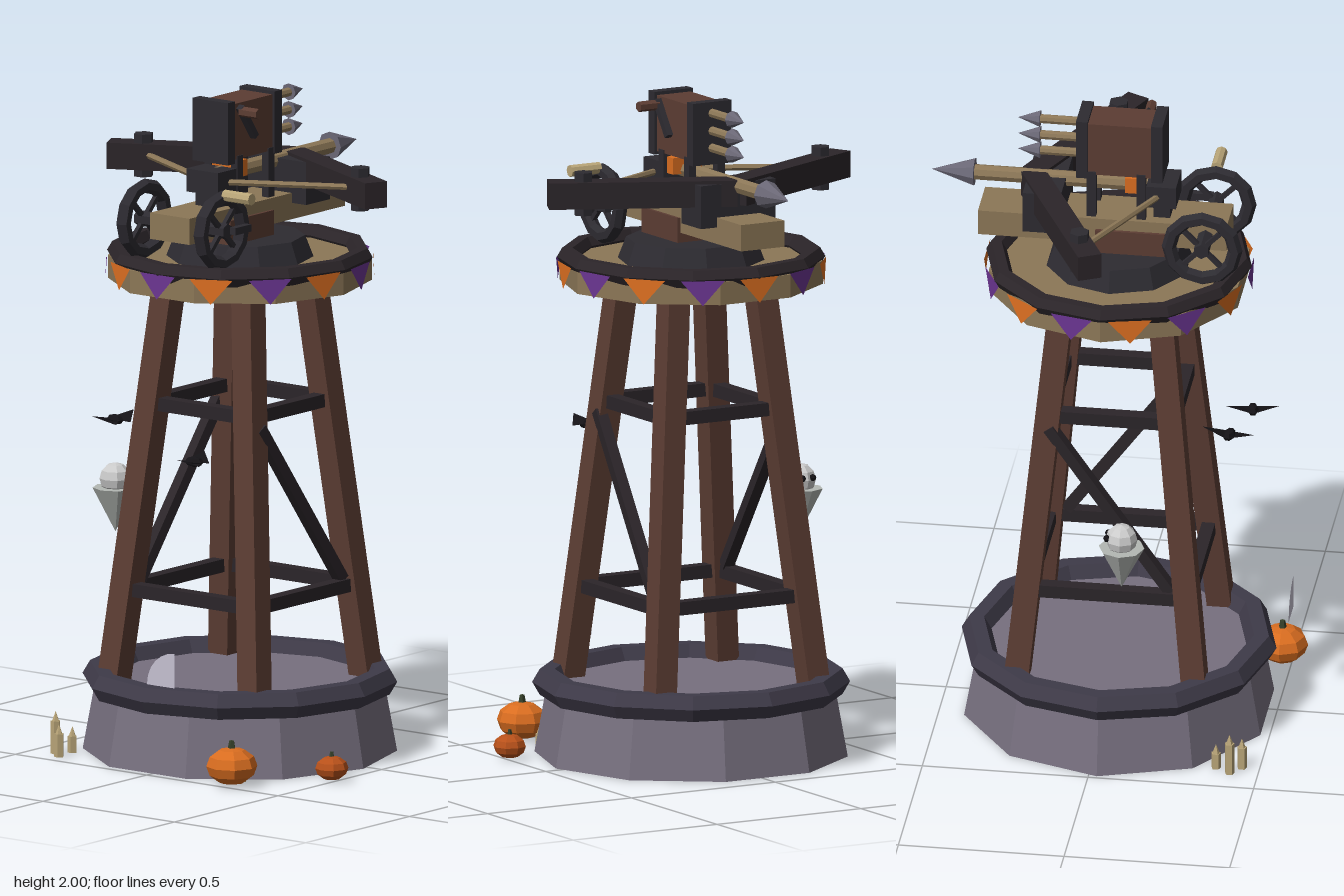
import * as THREE from 'three';

const C = {
  stone: 0x77707f, stoneRim: 0x3e3a48, wood: 0x5c3d33, dark: 0x2b2529, iron: 0x2d2b31,
  tan: 0x8c7757, steel: 0x6a6775, orange: 0xd96d20, orangeDeep: 0xb8511a, purple: 0x69348f,
  white: 0xe4e6e4, cloth: 0xb4b8b4, wax: 0xb9a578, stem: 0x35402a, black: 0x151317, web: 0xc4c0d0,
};
const V = (x, y, z) => new THREE.Vector3(x, y, z);
const mats = {};
function mat(color, side = THREE.FrontSide) {
  const key = color + '_' + side;
  return (mats[key] ??= new THREE.MeshStandardMaterial({ color, flatShading: true, side }));
}

function add(parent, name, geo, color, x = 0, y = 0, z = 0, side) {
  const m = new THREE.Mesh(geo, mat(color, side));
  m.name = name;
  m.position.set(x, y, z);
  parent.add(m);
  return m;
}
const box = (p, name, color, w, h, d, x, y, z) => add(p, name, new THREE.BoxGeometry(w, h, d), color, x, y, z);
const cyl = (p, name, color, rt, rb, h, n, x, y, z) =>
  add(p, name, new THREE.CylinderGeometry(rt, rb, h, n), color, x, y, z);

// Square beam between two points
function beam(p, name, color, a, b, w, h = w) {
  const d = b.clone().sub(a), len = d.length(), upright = Math.abs(d.y) > len * 0.5;
  const geo = upright ? new THREE.BoxGeometry(w, len, h) : new THREE.BoxGeometry(len, h, w);
  const m = add(p, name, geo, color);
  m.position.copy(a).lerp(b, 0.5);
  m.quaternion.setFromUnitVectors(upright ? V(0, 1, 0) : V(1, 0, 0), d.normalize());
  return m;
}
// Round rod between two points, optionally tapered to a point
function rod(p, name, color, a, b, r, n = 8, rEnd = r) {
  const d = b.clone().sub(a);
  const m = add(p, name, new THREE.CylinderGeometry(rEnd, r, d.length(), n), color);
  m.position.copy(a).lerp(b, 0.5);
  m.quaternion.setFromUnitVectors(V(0, 1, 0), d.normalize());
  return m;
}
function ring(p, name, color, R, r, y) {
  add(p, name, new THREE.TorusGeometry(R, r, 6, 12), color, 0, y, 0).rotation.x = Math.PI / 2;
}
function flat(points) {
  const g = new THREE.BufferGeometry();
  g.setAttribute('position', new THREE.Float32BufferAttribute(points, 3));
  g.computeVertexNormals();
  return g;
}

function buildTower() {
  const g = new THREE.Group();
  g.name = 'tower';
  g.position.set(-0.025, 0, -0.02);
  cyl(g, 'stoneBase', C.stone, 0.43, 0.47, 0.22, 10, 0, 0.11, 0);
  ring(g, 'baseRim', C.stoneRim, 0.43, 0.045, 0.22);

  // Splayed legs and bracing
  const s = (y) => 0.265 - 0.0975 * (y - 0.25);
  for (const sx of [-1, 1]) for (const sz of [-1, 1]) {
    beam(g, 'leg', C.wood, V(sx * s(0.18), 0.18, sz * s(0.18)), V(sx * s(1.46), 1.46, sz * s(1.46)), 0.073);
  }
  for (const y of [0.5, 1.065]) for (const k of [-1, 1]) {
    const r = s(y);
    box(g, 'crossBar', C.dark, 2 * r, 0.04, 0.04, 0, y, k * r);
    box(g, 'crossBar', C.dark, 0.04, 0.04, 2 * r, k * r, y, 0);
  }
  for (const k of [-1, 1]) {
    beam(g, 'diagonalBrace', C.dark, V(-k * 0.18, 1.035, k * 0.213), V(k * 0.19, 0.52, k * 0.235), 0.034);
  }

  // Platform with pennants
  cyl(g, 'platform', C.tan, 0.395, 0.395, 0.07, 10, 0, 1.47, 0);
  ring(g, 'platformRim', C.dark, 0.37, 0.031, 1.512);
  const pennant = flat([-0.066, 0, 0, 0, -0.075, 0.004, 0.066, 0, 0]);
  for (let i = 0; i < 14; i++) {
    const a = (i / 14) * Math.PI * 2;
    const m = add(g, 'pennant', pennant, i % 2 ? C.purple : C.orange,
      Math.cos(a) * 0.398, 1.51, Math.sin(a) * 0.398, THREE.DoubleSide);
    m.rotation.y = Math.PI / 2 - a;
  }
  cyl(g, 'turntable', C.iron, 0.195, 0.222, 0.07, 10, 0, 1.535, 0);
  return g;
}

// Bolt pointing along +x
function bolt(p, name, x0, x1, x2, y, r, headR) {
  rod(p, name + 'Shaft', C.tan, V(x0, y, 0), V(x1, y, 0), r, 8);
  rod(p, name + 'Head', C.steel, V(x1, y, 0), V(x2, y, 0), headR, 8, 0);
}

function buildCrossbow() {
  const g = new THREE.Group();
  g.name = 'crossbow';
  g.position.z = -0.022;
  box(g, 'stock', C.tan, 0.75, 0.08, 0.15, 0.015, 1.64, 0);
  box(g, 'pivotBlock', C.wood, 0.21, 0.08, 0.17, -0.07, 1.605, 0);
  box(g, 'limbBracket', C.iron, 0.115, 0.13, 0.26, 0.19, 1.715, 0);
  box(g, 'latch', C.iron, 0.09, 0.07, 0.12, -0.16, 1.757, 0);
  box(g, 'latchMount', C.iron, 0.05, 0.05, 0.08, -0.16, 1.70, 0);
  box(g, 'charm', C.orange, 0.06, 0.05, 0.1, -0.08, 1.785, 0);

  // Swept limbs, tip pegs and string
  for (const k of [-1, 1]) {
    beam(g, 'limb', C.dark, V(0.235, 1.75, 0), V(-0.01, 1.75, k * 0.508), 0.073, 0.08);
    cyl(g, 'limbPeg', C.iron, 0.03, 0.03, 0.13, 6, 0.035, 1.752, k * 0.412);
    rod(g, 'string', C.tan, V(0.035, 1.755, k * 0.41), V(-0.165, 1.755, k * 0.02), 0.01, 6);
  }
  bolt(g, 'mainBolt', -0.14, 0.41, 0.54, 1.77, 0.024, 0.043);

  // Magazine of small bolts
  box(g, 'magazine', C.wood, 0.21, 0.17, 0.117, -0.037, 1.905, 0);
  for (const x of [-0.148, 0.078]) box(g, 'magazinePlate', C.iron, 0.035, 0.19, 0.134, x, 1.905, 0);
  for (const x of [-0.1, 0.05]) for (const k of [-1, 1]) {
    box(g, 'magazinePost', C.iron, 0.028, 0.16, 0.025, x, 1.75, k * 0.05);
  }
  for (const y of [1.86, 1.912, 1.966]) bolt(g, 'smallBolt', 0.08, 0.212, 0.28, y, 0.014, 0.026);
  beam(g, 'leverArm', C.iron, V(-0.11, 1.98, 0.07), V(-0.04, 1.88, 0.07), 0.02);
  rod(g, 'leverGrip', C.wood, V(-0.105, 1.966, 0.07), V(-0.105, 1.966, 0.137), 0.016, 6);

  // Winding wheels on a shared axle
  const wx = -0.297, wy = 1.643;
  rod(g, 'axle', C.iron, V(wx, wy, -0.17), V(wx, wy, 0.17), 0.024, 6);
  for (const k of [-1, 1]) {
    const z = k * 0.147;
    add(g, 'wheelRim', new THREE.TorusGeometry(0.1, 0.022, 6, 12), C.iron, wx, wy, z);
    for (const a of [Math.PI / 4, -Math.PI / 4]) {
      box(g, 'wheelSpoke', C.iron, 0.19, 0.014, 0.014, wx, wy, z).rotation.z = a;
    }
  }
  box(g, 'crankArm', C.iron, 0.075, 0.022, 0.022, -0.247, wy, 0.18);
  rod(g, 'crankGrip', C.wax, V(wx, 1.752, 0.16), V(wx, 1.752, 0.262), 0.018, 8);
  return g;
}

function pumpkin(p, x, z, r, color) {
  const g = new THREE.Group();
  g.name = 'pumpkin';
  g.position.set(x, 0, z);
  add(g, 'pumpkinBody', new THREE.SphereGeometry(r, 8, 6), color, 0, r * 0.8, 0).scale.y = 0.74;
  cyl(g, 'pumpkinStem', C.stem, r * 0.1, r * 0.17, r * 0.36, 5, 0, r * 1.62, 0);
  p.add(g);
}

function bat(p, x, y, z, turn) {
  const g = new THREE.Group();
  g.name = 'bat';
  g.position.set(x, y, z);
  g.rotation.y = turn;
  add(g, 'batBody', new THREE.SphereGeometry(0.02, 6, 4), C.black).scale.set(0.9, 0.8, 1.6);
  for (const k of [-1, 1]) {
    add(g, 'batWing', flat([0, 0, -0.03, k * 0.082, 0.018, -0.012, k * 0.03, -0.008, 0.035, 0, 0, -0.03,
      k * 0.03, -0.008, 0.035, 0, 0, 0.02]), C.black, 0, 0, 0, THREE.DoubleSide);
  }
  p.add(g);
}

function candle(p, x, z, h) {
  cyl(p, 'candle', C.wax, 0.015, 0.015, h, 5, x, h / 2, z);
  cyl(p, 'candleFlame', C.wax, 0, 0.011, 0.03, 5, x, h + 0.015, z);
}

function buildDecorations() {
  const g = new THREE.Group();
  g.name = 'decorations';
  pumpkin(g, -0.472, 0.302, 0.077, C.orange);
  pumpkin(g, -0.228, 0.49, 0.05, C.orangeDeep);
  bat(g, -0.385, 1.04, -0.21, -0.2);
  bat(g, -0.41, 0.955, 0.11, 0.15);
  candle(g, -0.447, -0.375, 0.07);
  candle(g, -0.415, -0.413, 0.1);
  candle(g, -0.37, -0.385, 0.05);
  candle(g, -0.415, 0.245, 0.04);
  candle(g, -0.4, 0.283, 0.03);

  // Floating ghost facing +x
  const ghost = new THREE.Group();
  ghost.name = 'ghost';
  ghost.position.set(-0.093, 0, -0.44);
  cyl(ghost, 'ghostRobe', C.cloth, 0.069, 0, 0.135, 8, 0, 0.69, 0);
  add(ghost, 'ghostHead', new THREE.SphereGeometry(0.048, 8, 6), C.white, 0, 0.785, 0);
  for (const k of [-1, 1]) {
    add(ghost, 'ghostEye', new THREE.SphereGeometry(0.011, 6, 4), C.black, 0.042, 0.793, k * 0.018);
  }
  g.add(ghost);

  // Quarter-disc web
  add(g, 'web', new THREE.CircleGeometry(0.105, 6, 0, Math.PI / 2), C.web, -0.53, 0.285, 0.13,
    THREE.DoubleSide).rotation.y = Math.PI / 2;
  return g;
}

export function createModel() {
  const model = new THREE.Group();
  model.name = 'crossbowTower';
  model.add(buildTower(), buildCrossbow(), buildDecorations());
  return model;
}
